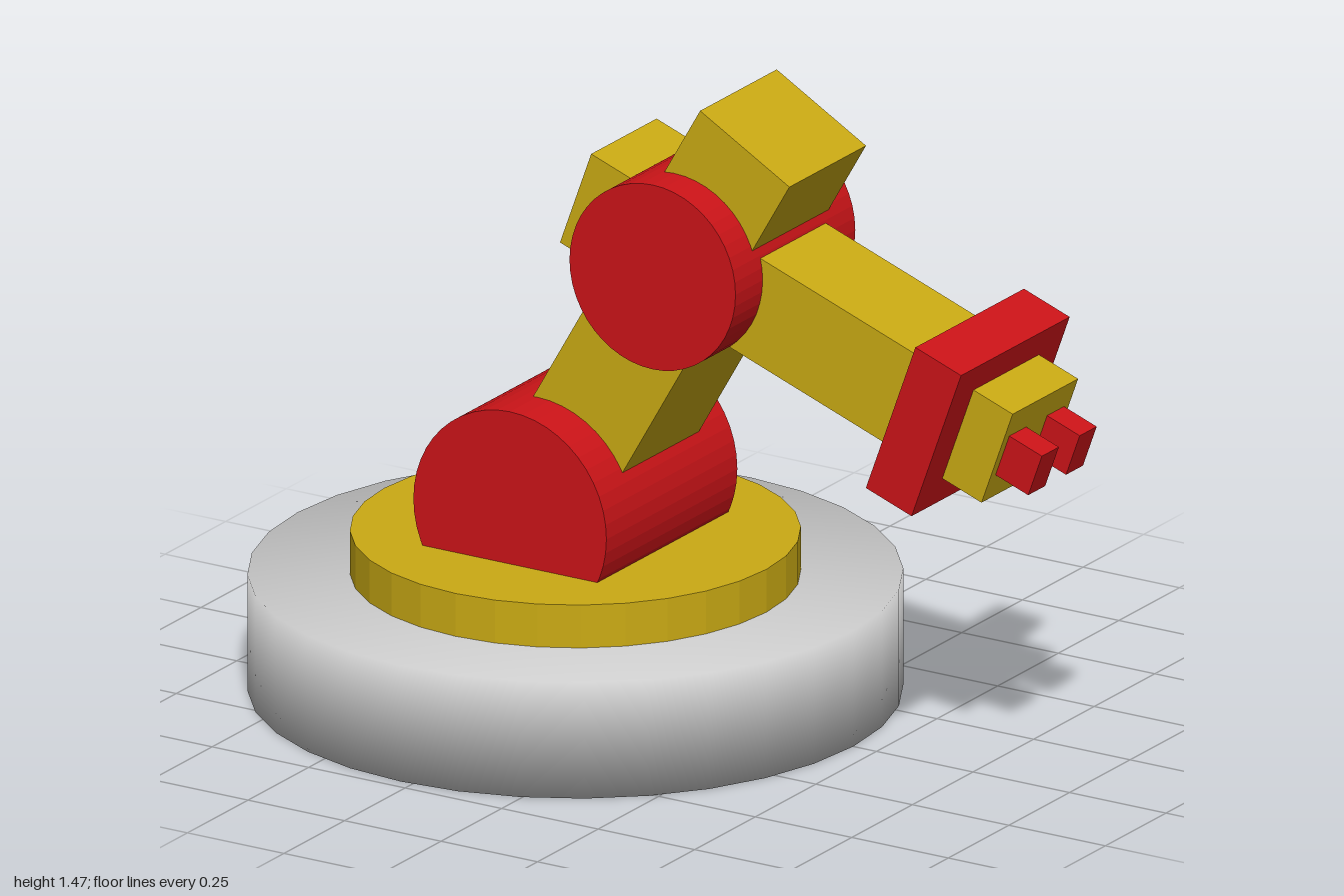
import * as THREE from 'three';
import { mergeVertices } from 'three/addons/utils/BufferGeometryUtils.js';

const grey = new THREE.MeshStandardMaterial({ color: 0xcccccc });
const yellow = new THREE.MeshStandardMaterial({ color: 0xcaaa14, flatShading: true });
const red = new THREE.MeshStandardMaterial({ color: 0xcc1418, flatShading: true });

function add(parent, name, geometry, material, x = 0, y = 0, z = 0) {
  const mesh = new THREE.Mesh(geometry, material);
  mesh.name = name;
  mesh.position.set(x, y, z);
  parent.add(mesh);
  return mesh;
}

// Beam lying along local x from x0 to x1
function beam(parent, name, material, x0, x1, height, depth, z = 0) {
  return add(parent, name, new THREE.BoxGeometry(x1 - x0, height, depth), material, (x0 + x1) / 2, 0, z);
}

// Pivot drum with its axis along z
function drum(parent, name, radius, depth) {
  return add(parent, name, new THREE.CylinderGeometry(radius, radius, depth, 48).rotateX(Math.PI / 2), red);
}

// Named joint group at (x, y)
function joint(parent, name, x, y) {
  const group = new THREE.Group();
  group.name = name;
  group.position.set(x, y, 0);
  parent.add(group);
  return group;
}

export function createModel() {
  const model = new THREE.Group();
  model.name = 'robotArm';
  const baseX = -0.28;

  // Base disc with normals blended softly across its rims
  let disc = new THREE.CylinderGeometry(0.72, 0.72, 0.27, 32);
  disc.deleteAttribute('normal');
  disc.deleteAttribute('uv');
  disc = mergeVertices(disc, 1e-4);
  disc.computeVertexNormals();
  add(model, 'base', disc, grey, baseX, 0.135);

  // Turntable
  add(model, 'turntable', new THREE.CylinderGeometry(0.495, 0.495, 0.1, 32), yellow, baseX, 0.32);

  // Shoulder and upper arm, leaning 60 degrees
  const shoulder = joint(model, 'shoulder', baseX, 0.475);
  drum(shoulder, 'shoulderDrum', 0.25, 0.54);
  const upperArm = joint(shoulder, 'upperArm', 0, 0);
  upperArm.rotation.z = Math.PI / 3;
  beam(upperArm, 'upperArmBeam', yellow, 0, 1.076, 0.267, 0.316);

  // Elbow and forearm, dipping 20 degrees
  const elbow = joint(model, 'elbow', 0.075, 1.1);
  drum(elbow, 'elbowDrum', 0.215, 0.494);
  const forearm = joint(elbow, 'forearm', 0, 0);
  forearm.rotation.z = -Math.PI / 9;
  beam(forearm, 'forearmBeam', yellow, -0.287, 0.875, 0.236, 0.27);
  beam(forearm, 'wristCollar', red, 0.641, 0.767, 0.375, 0.448);

  // Gripper fingers
  for (const side of [-1, 1]) {
    beam(forearm, side > 0 ? 'frontFinger' : 'backFinger', red, 0.82, 0.965, 0.104, 0.07, side * 0.078);
  }
  return model;
}
